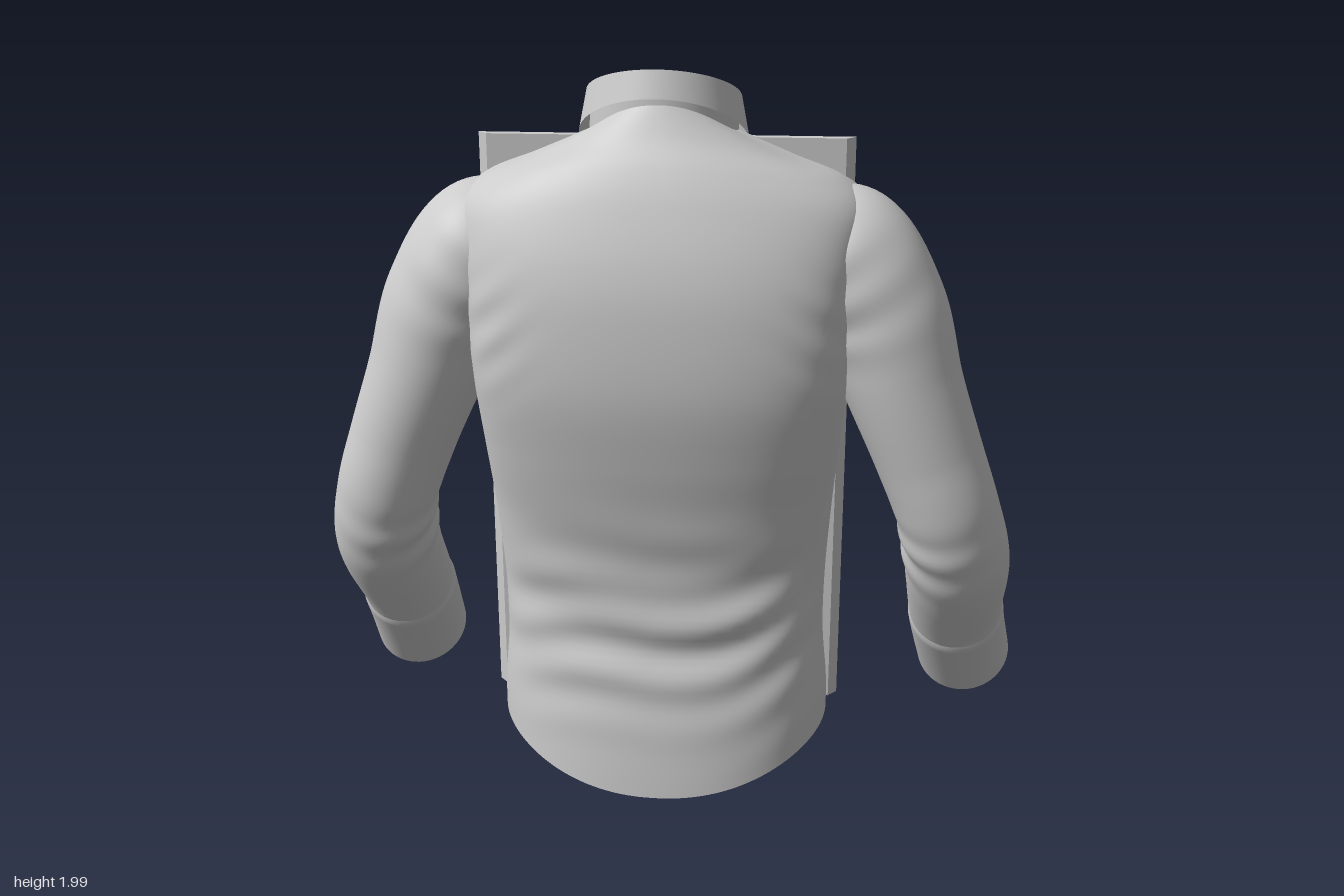
import * as THREE from 'three';
import { mergeVertices } from 'three/addons/utils/BufferGeometryUtils.js';

const mat = new THREE.MeshStandardMaterial({ color: 0xcccccc, side: THREE.DoubleSide, roughness: 0.8 });
const TAU = Math.PI * 2, CX = -0.03;
const { lerp, smoothstep } = THREE.MathUtils;

// Smooth skin over a grid: f(u, v) returns a point, u and v run 0..1
function skin(name, nu, nv, f) {
  const pos = [], idx = [];
  for (let j = 0; j <= nv; j++)
    for (let i = 0; i <= nu; i++) pos.push(...f(i / nu, j / nv));
  for (let j = 0; j < nv; j++)
    for (let i = 0; i < nu; i++) {
      const a = j * (nu + 1) + i, b = a + nu + 1;
      idx.push(a, b, a + 1, a + 1, b, b + 1);
    }
  let g = new THREE.BufferGeometry();
  g.setAttribute('position', new THREE.Float32BufferAttribute(pos, 3));
  g.setIndex(idx);
  g = mergeVertices(g, 1e-5);
  g.computeVertexNormals();
  const m = new THREE.Mesh(g, mat);
  m.name = name;
  return m;
}

// Smooth interpolation through rows of numbers
function rowAt(rows, t) {
  const s = t * (rows.length - 1), i = Math.min(Math.floor(s), rows.length - 2), k = s - i;
  const r = (n) => rows[Math.max(0, Math.min(rows.length - 1, n))];
  return rows[i].map((_, c) => {
    const a = r(i - 1)[c], b = r(i)[c], d = r(i + 1)[c], e = r(i + 2)[c];
    const m0 = (d - a) / 2, m1 = (e - b) / 2;
    return (2 * k ** 3 - 3 * k * k + 1) * b + (k ** 3 - 2 * k * k + k) * m0
      + (3 * k * k - 2 * k ** 3) * d + (k ** 3 - k * k) * m1;
  });
}
const bump = (x, c, w) => Math.exp(-(((x - c) / w) ** 2));

// Body rings: y at back, side, front; half width; z at back, front; roundness of front, back
const RINGS = [
  [0.01, 0.15, 0.03, 0.47, 0.39, -0.425, 1.9, 0.82],
  [0.2, 0.25, 0.2, 0.467, 0.37, -0.42, 1.85, 0.75],
  [0.4, 0.41, 0.4, 0.453, 0.345, -0.405, 1.65, 0.68],
  [0.6, 0.6, 0.6, 0.455, 0.335, -0.385, 1.42, 0.6],
  [0.8, 0.8, 0.8, 0.467, 0.36, -0.362, 1.25, 0.52],
  [1.0, 1.0, 1.0, 0.483, 0.4, -0.345, 1.05, 0.43],
  [1.2, 1.2, 1.2, 0.5, 0.43, -0.34, 0.87, 0.37],
  [1.4, 1.38, 1.38, 0.51, 0.425, -0.31, 0.85, 0.37],
  [1.54, 1.53, 1.53, 0.53, 0.4, -0.245, 0.85, 0.45],
  [1.68, 1.645, 1.62, 0.535, 0.35, -0.21, 0.85, 0.55],
  [1.77, 1.715, 1.66, 0.47, 0.305, -0.195, 0.9, 0.7],
  [1.84, 1.768, 1.69, 0.34, 0.255, -0.182, 0.95, 0.88],
  [1.915, 1.83, 1.72, 0.192, 0.212, -0.17, 1, 1],
];

function bodyPoint(a, t) {
  const [yb, ys, yf, w, zb, zf, pf, pb] = rowAt(RINGS, t);
  const c = Math.cos(a), s = Math.sin(a), n = Math.abs(s), back = s > 0, zc = 0.05;
  const y = back ? lerp(ys, yb, n * n) : lerp(ys, yf, n ** 1.35);
  const x = w * Math.sign(c) * Math.abs(c) ** 0.93;
  let z = zc + ((back ? zb : zf) - zc) * n ** (back ? pb : pf);
  // sagging folds across the lower back and light folds in front of the armholes
  if (back) {
    const sag = y + 0.3 * Math.abs(x) * (x > 0 ? -1 : 0.7) - 0.25 * x * x;
    z += s * (0.009 * Math.sin(sag * 40 + 2 * Math.sin(x * 7)) * bump(y, 0.46, 0.2)
      + 0.007 * Math.sin(sag * 25 + x * 11) * bump(y, 0.58, 0.22));
  }
  z += 0.004 * Math.sin(y * 50 + Math.abs(x) * 40) * bump(y, 1.35, 0.14) * bump(Math.abs(x), 0.45, 0.1);
  return [CX + x, y, z];
}

// Sleeve stations: x, y, z, radius, and how much further out the right arm sits
const ARM = [
  [0.32, 1.59, 0.08, 0.1, 0.06],
  [0.435, 1.53, 0.09, 0.19, 0.06],
  [0.545, 1.37, 0.12, 0.187, 0.06],
  [0.62, 1.17, 0.145, 0.164, 0.06],
  [0.69, 0.99, 0.15, 0.152, 0.06],
  [0.752, 0.82, 0.145, 0.147, 0.055],
  [0.79, 0.65, 0.082, 0.152, 0.045],
  [0.807, 0.43, -0.07, 0.14, 0.02],
  [0.85, 0.21, -0.222, 0.138, -0.015],
];

function armPoint(side, a, t, grow) {
  const at = (q) => {
    const r = rowAt(ARM, q);
    return new THREE.Vector3(side > 0 ? r[0] : -(r[0] + r[4]), r[1], r[2]);
  };
  const p = at(t), T = at(Math.min(1, t + 0.01)).sub(at(Math.max(0, t - 0.01))).normalize();
  const e1 = new THREE.Vector3(1, 0, 0).addScaledVector(T, -T.x).normalize();
  const e2 = e1.clone().cross(T);
  const inner = 0.5 - 0.5 * Math.cos(a) * side;
  // bunched cloth inside the elbow and at the armpit
  const fold = 0.007 * Math.sin(t * 90 + 3 * Math.sin(a)) * bump(t, 0.69, 0.06) * inner
    + 0.006 * Math.sin(t * 80 + 3 * Math.sin(a)) * bump(t, 0.22, 0.08) * inner;
  const r = rowAt(ARM, t)[3] + grow + fold;
  p.addScaledVector(e1, r * Math.cos(a) * 0.96).addScaledVector(e2, r * Math.sin(a));
  return p.toArray();
}

// Neck ellipse; a = 0 at the back, +-PI at the front opening
const neck = (a, r) => [-0.035 + (0.2 + r) * Math.sin(a), 0.02 + (0.187 + r) * Math.cos(a)];
const collarTop = (z) => 1.903 + 0.486 * z;

function collarFall(u, v) {
  const a = (1 - 2 * u) * (Math.PI - 0.07), front = Math.max(0, -Math.cos(a));
  const zt = neck(a, 0)[1], tip = Math.PI - 0.62;
  const point = Math.max(0, 1 - Math.abs(Math.abs(a) - tip) / 0.55);
  const over = Math.max(0, (Math.abs(a) - tip) / (Math.PI - tip));
  const bottom = lerp(1.78 + 0.74 * zt - 0.06 * point, collarTop(zt) - 0.04, over);
  const k = 1 - v, [x, z] = neck(a, 0.004 + 0.022 * k);
  return [x + k * 0.02 * Math.sign(a) * front, lerp(collarTop(zt), bottom, k), z - k * (0.005 * front + 0.06 * point)];
}

export function createModel() {
  const shirt = new THREE.Group();
  shirt.name = 'shirt';

  shirt.add(skin('body', 144, 110, (u, v) => bodyPoint(u * TAU, v)));

  // Overlapping button strip down the front, with one free edge
  shirt.add(skin('placket', 12, 110, (u, v) => {
    const [x, y, z] = bodyPoint(TAU * 0.75 + lerp(-0.2, 0.07, Math.min(1, u * 12 / 11)), v);
    return [x, y, z - (u === 1 ? -0.004 : lerp(-0.004, 0.009, u))];
  }));

  const buttons = new THREE.Group();
  buttons.name = 'buttons';
  for (const y of [1.6, 1.44, 1.23, 1.0, 0.73, 0.45]) {
    let t = 0;
    while (bodyPoint(TAU * 0.75, t)[1] < y) t += 0.002;
    const b = new THREE.Mesh(new THREE.CylinderGeometry(0.018, 0.02, 0.01, 20), mat);
    b.name = 'button';
    b.position.set(...bodyPoint(TAU * 0.75, t));
    b.position.z -= 0.009;
    b.rotation.x = -Math.PI / 2;
    buttons.add(b);
  }
  shirt.add(buttons);

  for (const side of [1, -1]) {
    const arm = new THREE.Group();
    arm.name = side > 0 ? 'leftSleeve' : 'rightSleeve';
    arm.add(skin('sleeve', 56, 100, (u, v) => armPoint(side, u * TAU, v * 0.9, 0)));
    arm.add(skin('cuff', 56, 14, (u, v) => armPoint(side, u * TAU, 0.875 + v * 0.125, v === 0 ? -0.004 : 0.005)));
    shirt.add(arm);
  }

  // Collar: inner stand and folded outer fall with two points
  const collar = new THREE.Group();
  collar.name = 'collar';
  collar.add(skin('collarStand', 72, 8, (u, v) => {
    const a = -u * TAU, [x, z] = neck(a, -0.008 * v);
    return [x, lerp(1.765 + 0.5 * z + 0.05 * smoothstep(-z, 0, 0.15), collarTop(z), v), z];
  }));
  collar.add(skin('collarFall', 120, 12, collarFall));
  shirt.add(collar);

  // Flat board inside the shirt, its sides bevelled towards +z
  const outline = new THREE.Shape([[-0.5, -0.014], [0.5, -0.014], [0.475, 0.014], [-0.475, 0.014]]
    .map(([x, z]) => new THREE.Vector2(x, -z)));
  const boardShape = new THREE.ExtrudeGeometry(outline, { depth: 1.64, bevelEnabled: false });
  boardShape.rotateX(-Math.PI / 2);
  const board = new THREE.Mesh(boardShape, mat);
  board.name = 'insertBoard';
  board.position.set(CX, 0.17, 0.042);
  board.rotation.y = 0.02;
  shirt.add(board);

  return shirt;
}
